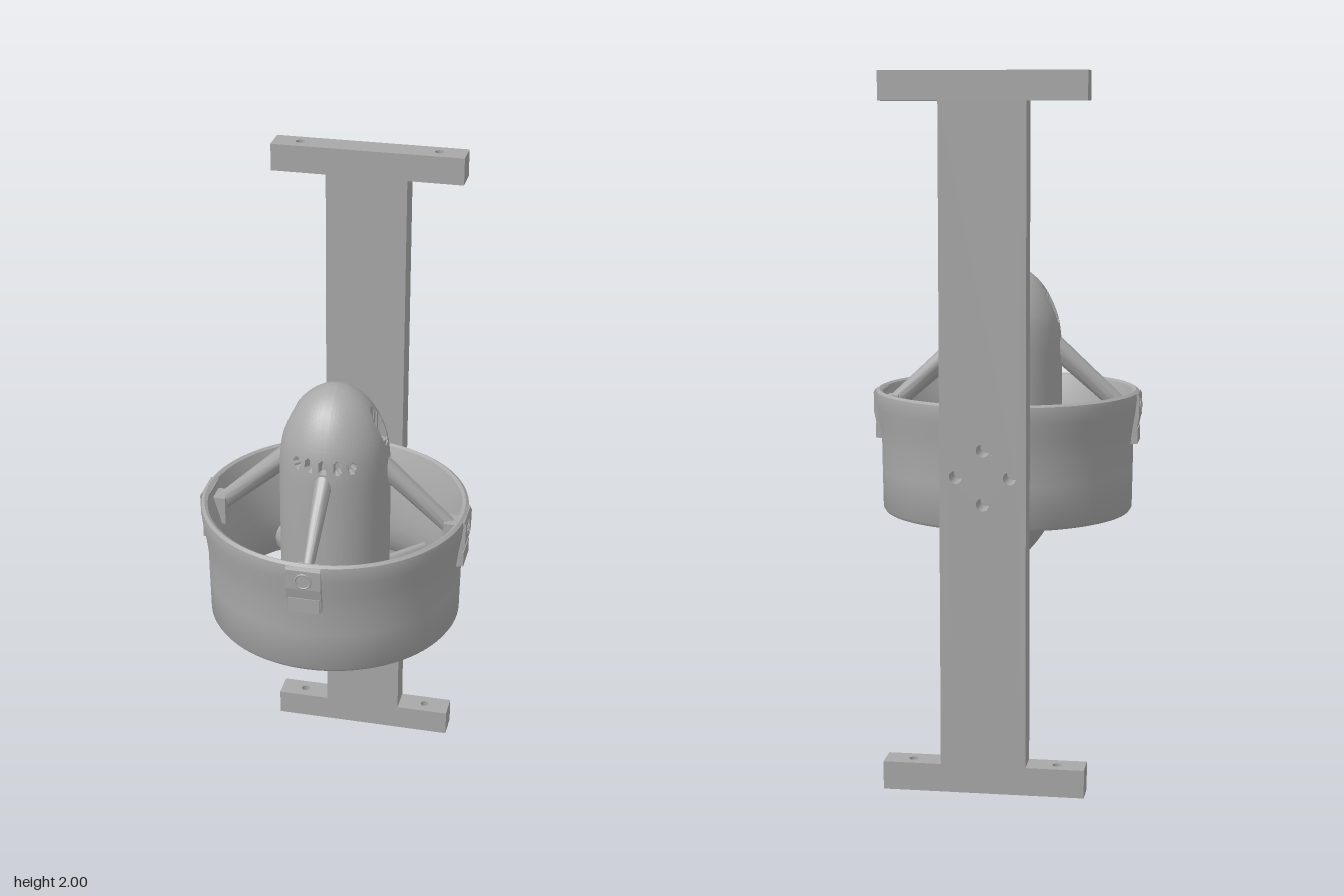
import * as THREE from 'three';
import { toCreasedNormals } from 'three/addons/utils/BufferGeometryUtils.js';

const AXIS_Z = 0.042; // the duct and hub share this vertical axis
const V2 = (p) => new THREE.Vector2(p[0], p[1]);

export function createModel() {
  const grey = new THREE.MeshStandardMaterial({ color: 0xa8a8a8 });
  grey.name = 'machined grey';
  const model = new THREE.Group();
  model.name = 'ductedPodOnBracket';

  const add = (parent, name, geometry) => {
    const mesh = new THREE.Mesh(geometry, grey);
    mesh.name = name;
    parent.add(mesh);
    return mesh;
  };
  const hole = (shape, x, y, r) => {
    const path = new THREE.Path();
    path.absarc(x, y, r, 0, Math.PI * 2, true);
    shape.holes.push(path);
  };
  const rect = (w, y0, y1) => new THREE.Shape([[-w, y0], [w, y0], [w, y1], [-w, y1]].map(V2));
  const extrude = (shape, depth) =>
    new THREE.ExtrudeGeometry(shape, { depth, bevelEnabled: false, curveSegments: 20 });

  // Bracket: upright web with four bolt holes
  const bracket = new THREE.Group();
  bracket.name = 'bracket';
  model.add(bracket);
  const web = rect(0.12, 0.08, 1.92);
  for (const [x, y] of [[0.075, 0], [-0.075, 0], [0, 0.075], [0, -0.075]]) hole(web, x, 0.9 + y, 0.018);
  add(bracket, 'web', extrude(web, 0.08)).position.z = -0.438;

  // Bracket: flanges drilled vertically
  for (const y of [0, 1.92]) {
    const flange = rect(0.284, 0.358, 0.438);
    for (const x of [-0.204, 0.204]) hole(flange, x, 0.399, 0.013);
    add(bracket, y ? 'topFlange' : 'bottomFlange', extrude(flange, 0.08).rotateX(-Math.PI / 2)).position.y = y;
  }

  // Pad joining the duct to the web, rounded at its corners
  const padShape = new THREE.Shape();
  padShape.absellipse(0, 0.91, 0.118, 0.165, 0, Math.PI * 2);
  const padGeometry = extrude(padShape, 0.075);
  const pp = padGeometry.attributes.position;
  for (let i = 0; i < pp.count; i++) { // square off the ellipse
    const u = pp.getX(i) / 0.118, v = (pp.getY(i) - 0.91) / 0.165;
    const k = 1 / Math.pow(u ** 4 + v ** 4, 0.25);
    const flare = pp.getZ(i) > 0.01 ? 0.92 : 1;
    pp.setXY(i, u * k * 0.118 * flare, 0.91 + v * k * 0.165);
  }
  add(model, 'mountPad', toCreasedNormals(padGeometry, 0.6)).position.z = -0.36;

  const pod = new THREE.Group();
  pod.name = 'pod';
  pod.position.z = AXIS_Z;
  model.add(pod);

  // Duct: closed profile, flared intake at the top
  const ductProfile = [
    [0.347, 0.733], [0.352, 0.726], [0.364, 0.726], [0.37, 0.735], [0.372, 0.85], [0.373, 0.93],
    [0.379, 0.98], [0.387, 1.03], [0.391, 1.065], [0.389, 1.08], [0.38, 1.086], [0.371, 1.081],
    [0.36, 1.05], [0.345, 1.0], [0.332, 0.94], [0.323, 0.88], [0.32, 0.83], [0.326, 0.78], [0.347, 0.733],
  ].map(V2);
  add(pod, 'duct', toCreasedNormals(new THREE.LatheGeometry(ductProfile, 96), 0.6));

  // Hub: pointed tail, straight body, ogive nose
  const tail = new THREE.SplineCurve([[0, 0.54], [0.034, 0.565], [0.07, 0.6], [0.105, 0.645],
    [0.133, 0.695], [0.148, 0.74], [0.158, 0.82], [0.161, 0.9]].map(V2)).getPoints(28);
  const nose = new THREE.SplineCurve([[0.161, 1.18], [0.159, 1.23], [0.152, 1.285], [0.138, 1.33],
    [0.115, 1.375], [0.085, 1.412], [0.045, 1.44], [0, 1.455]].map(V2)).getPoints(66);
  for (const end of [tail[0], nose[66]]) end.x = 0;
  const hubGeometry = new THREE.LatheGeometry([...tail, ...nose], 160);

  // Sink the two nose counterbores and the row of front vents into the hub
  const hp = hubGeometry.attributes.position;
  for (let i = 0; i < hp.count; i++) {
    const x = hp.getX(i), y = hp.getY(i), z = hp.getZ(i);
    if (y < 1.2) continue;
    if (Math.hypot(Math.abs(x) - 0.13, z) < 0.026) hp.setY(i, Math.min(y, 1.282));
    for (let k = -2; k <= 2; k++) {
      const da = (Math.atan2(x, z) - k * 0.265) * 0.155 / 0.01;
      if (Math.hypot(da, (y - 1.264) / 0.017) < 1) hp.setXYZ(i, x * 0.88, y, z * 0.88);
    }
  }
  add(pod, 'hub', toCreasedNormals(hubGeometry, 0.6));

  // Screws in the counterbores
  for (const side of [-1, 1]) {
    const ring = new THREE.Shape();
    ring.absarc(0, 0, 0.018, 0, Math.PI * 2);
    hole(ring, 0, 0, 0.01);
    add(pod, 'noseScrew', extrude(ring, 0.015).rotateX(-Math.PI / 2)).position.set(side * 0.13, 1.28, 0);
  }

  // Streamlined strut between two (radius, height) points
  const strut = (a, b, chord, width) => {
    const [dx, dy] = [b[0] - a[0], b[1] - a[1]];
    const length = Math.hypot(dx, dy);
    const g = new THREE.CylinderGeometry(0.5, 0.5, length, 24, 4).translate(0, length / 2, 0);
    const p = g.attributes.position;
    for (let i = 0; i < p.count; i++) {
      const t = p.getY(i) / length, x = p.getX(i);
      const c = THREE.MathUtils.lerp(chord[0], chord[1], t);
      const w = THREE.MathUtils.lerp(width[0], width[1], t);
      p.setX(i, x * c);
      p.setZ(i, p.getZ(i) * w * (1 - Math.max(0, x) * 0.9));
    }
    return toCreasedNormals(g.rotateZ(Math.atan2(dy, dx) - Math.PI / 2).translate(a[0], a[1], 0), 0.9);
  };
  const upperStrut = strut([0.13, 1.222], [0.35, 1.025], [0.065, 0.05], [0.052, 0.028]);
  const lowerStrut = strut([0.12, 0.775], [0.338, 0.795], [0.11, 0.08], [0.05, 0.032]);

  // Clip section, stepped at its lower end
  const clipSection = new THREE.Shape([[0.36, 0.932], [0.38, 0.932], [0.386, 0.972], [0.387, 0.976],
    [0.394, 1.01], [0.395, 1.07], [0.39, 1.08], [0.366, 1.08]].map(V2));
  const clip = extrude(clipSection, 0.1).translate(0, 0, -0.05);

  for (let i = 0; i < 4; i++) {
    // Upper strut with its foot, outer clip and cross-head screw
    const arm = new THREE.Group();
    arm.name = 'upperArm';
    arm.rotation.y = i * Math.PI / 2;
    pod.add(arm);
    add(arm, 'upperStrut', upperStrut);
    add(arm, 'strutFoot', new THREE.BoxGeometry(0.04, 0.085, 0.06)).position.set(0.346, 1.015, 0);
    add(arm, 'clip', clip);
    add(arm, 'clipStep', new THREE.BoxGeometry(0.022, 0.045, 0.092)).position.set(0.379, 0.955, 0);
    const screw = new THREE.Group();
    screw.name = 'clipScrew';
    screw.position.set(0.395, 1.037, 0);
    arm.add(screw);
    add(screw, 'screwRim', new THREE.TorusGeometry(0.022, 0.003, 8, 28).rotateY(Math.PI / 2));
    for (const turn of [1, -1]) {
      add(screw, 'screwCross', new THREE.BoxGeometry(0.004, 0.026, 0.007)).rotation.x = turn * Math.PI / 4;
    }
    // Lower strut between the upper ones
    const lower = add(pod, 'lowerStrut', lowerStrut);
    lower.rotation.y = (i + 0.5) * Math.PI / 2;
  }
  return model;
}
